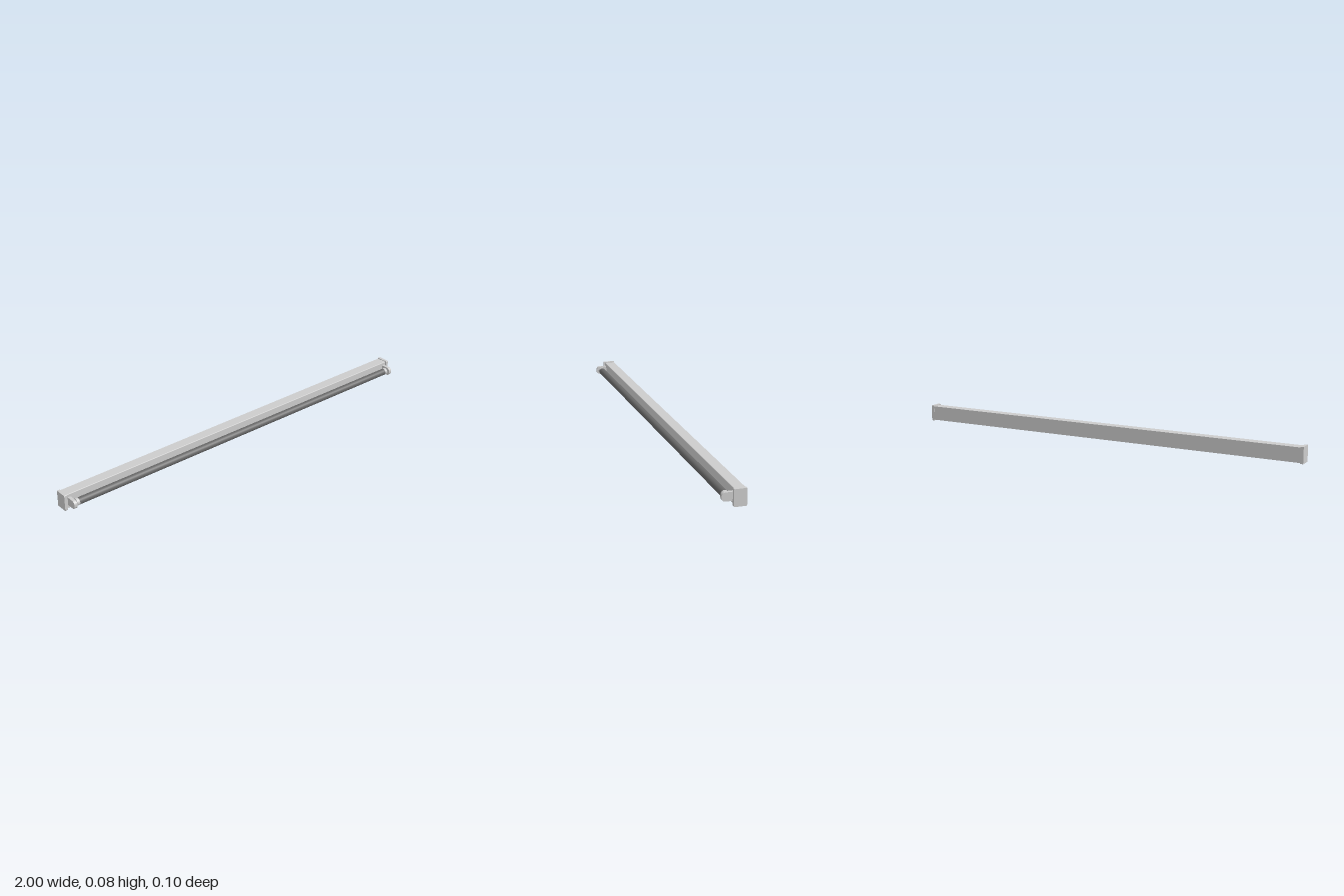
import * as THREE from 'three';

const grey = new THREE.MeshStandardMaterial({ color: 0xcccccc });
const dark = new THREE.MeshStandardMaterial({ color: 0x686868 });

// Profile in the side plane with the two front corners rounded
function profile(zBack, zFront, y0, y1, r) {
  const s = new THREE.Shape();
  s.moveTo(-zBack, y0);
  s.lineTo(-zBack, y1);
  s.lineTo(-zFront + r, y1);
  s.absarc(-zFront + r, y1 - r, r, Math.PI / 2, Math.PI, false);
  s.lineTo(-zFront, y0 + r);
  s.absarc(-zFront + r, y0 + r, r, Math.PI, Math.PI * 1.5, false);
  s.closePath();
  return s;
}

// Extrude a side profile along x, centred on cx
function bar(name, shape, length, cx) {
  const g = new THREE.ExtrudeGeometry(shape, { depth: length, bevelEnabled: false, curveSegments: 10 });
  g.translate(0, 0, -length / 2);
  g.rotateY(Math.PI / 2);
  const m = new THREE.Mesh(g, grey);
  m.name = name;
  m.position.x = cx;
  return m;
}

// Cylinder lying along x on the lamp axis
function rod(name, r, length, cx, y, z, material) {
  const g = new THREE.CylinderGeometry(r, r, length, 24);
  g.rotateZ(Math.PI / 2);
  const m = new THREE.Mesh(g, material);
  m.name = name;
  m.position.set(cx, y, z);
  return m;
}

export function createModel() {
  const model = new THREE.Group();
  model.name = 'tubeLight';

  // Long housing
  model.add(bar('housing', profile(-0.051, -0.001, 0.004, 0.074, 0.003), 1.976, 0));

  // Lamp tube
  model.add(rod('lampTube', 0.0165, 1.91, 0, 0.04, 0.027, dark));

  for (const side of [-1, 1]) {
    const name = side > 0 ? 'left' : 'right';
    // End plate closing the housing
    model.add(bar(name + 'EndCap', profile(-0.052, 0.006, 0, 0.078, 0.004), 0.014, side * 0.993));
    // Rounded lamp holder
    model.add(bar(name + 'LampHolder', profile(-0.004, 0.052, 0.02, 0.06, 0.0175), 0.015, side * 0.972));
    // Collar and pins between tube and holder
    model.add(rod(name + 'Collar', 0.0172, 0.014, side * 0.952, 0.04, 0.027, grey));
    for (const dy of [-0.006, 0.006]) {
      model.add(rod(name + 'Pin', 0.002, 0.012, side * 0.962, 0.04 + dy, 0.027, grey));
    }
  }
  return model;
}
